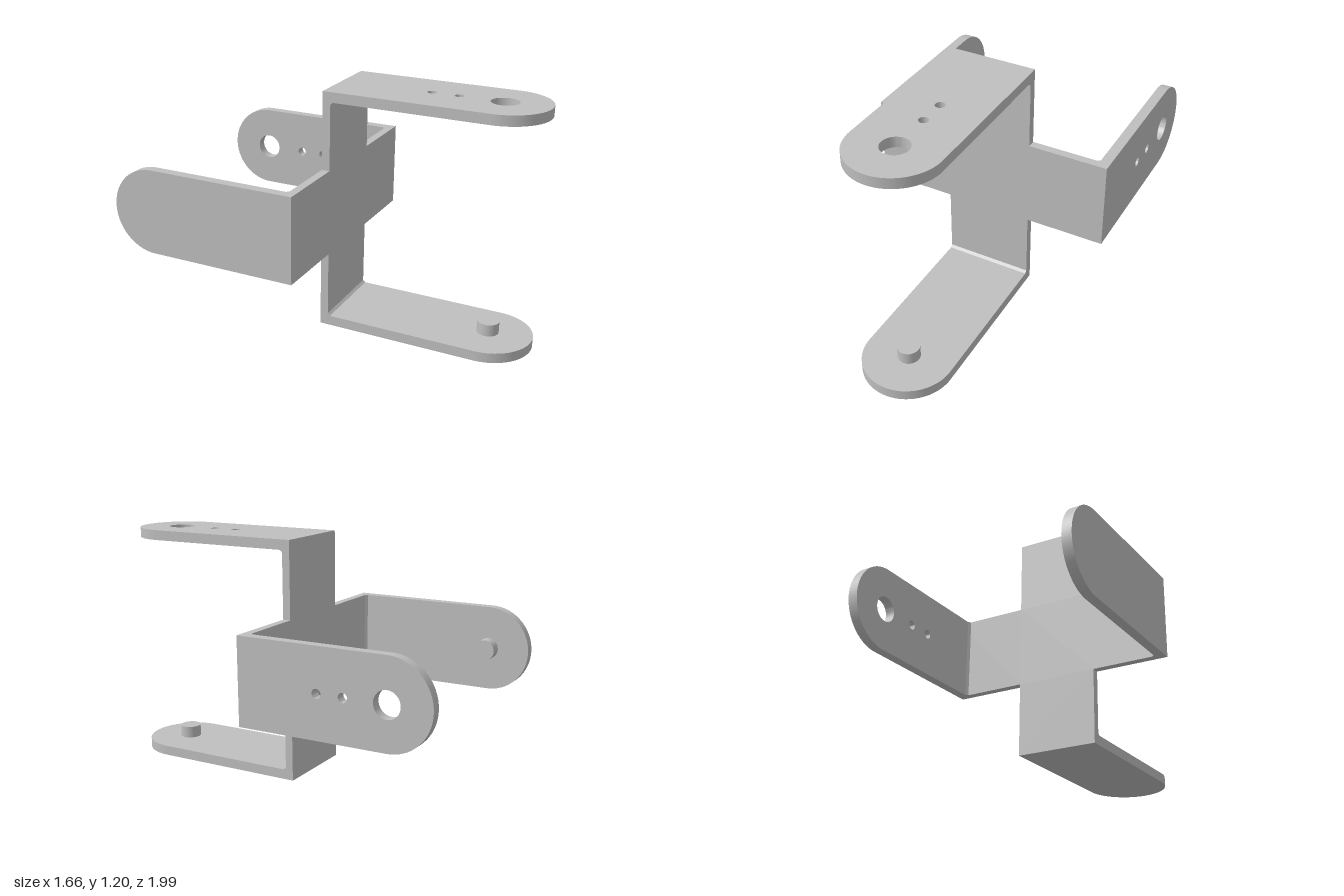
import * as THREE from 'three';
import { toCreasedNormals } from 'three/addons/utils/BufferGeometryUtils.js';

const W = 0.43;      // strap width
const R = W / 2;     // rounded arm end
const HALF = 0.6;    // half the bracket span
const T = 0.05;      // arm thickness
const PLATE = 0.04;  // cross plate thickness

const metal = new THREE.MeshStandardMaterial({ color: 0xbfbfbf });
metal.name = 'grey metal';

function addMesh(parent, name, geometry) {
  const mesh = new THREE.Mesh(geometry, metal);
  mesh.name = name;
  parent.add(mesh);
  return mesh;
}

function extrude(shape, depth) {
  const g = new THREE.ExtrudeGeometry(shape, { depth, bevelEnabled: false, curveSegments: 20 });
  return toCreasedNormals(g, 0.6);
}

// Arm running along +z with its outer face at y = 0
function makeArm(name, length, withHoles) {
  const arm = new THREE.Group();
  arm.name = name;
  const c = length - R;
  const shape = new THREE.Shape();
  shape.moveTo(-R, 0);
  shape.lineTo(R, 0);
  shape.lineTo(R, c);
  shape.absarc(0, c, R, 0, Math.PI, false);
  shape.closePath();
  if (withHoles) {
    for (const [offset, radius] of [[0, 0.065], [0.212, 0.023], [0.343, 0.023]]) {
      shape.holes.push(new THREE.Path().absarc(0, c - offset, radius, 0, Math.PI * 2, true));
    }
  }
  addMesh(arm, 'armPlate', extrude(shape, T).rotateX(Math.PI / 2));

  // small fillet in the inner corner
  const s = 0.012;
  const tri = new THREE.Shape([[0, 0], [-s, 0], [0, -s]].map(p => new THREE.Vector2(...p)));
  addMesh(arm, 'cornerFillet', extrude(tri, W).rotateY(Math.PI / 2)).position.set(-R, -T, 0);

  // pivot peg on the inner face
  if (!withHoles) {
    addMesh(arm, 'pivotPeg', new THREE.CylinderGeometry(0.053, 0.053, 0.06, 32))
      .position.set(0, -T - 0.03, c);
  }
  return arm;
}

// Two facing arms: one drilled, one carrying the peg
function makeArmPair(name, length) {
  const pair = new THREE.Group();
  pair.name = name;
  const drilled = makeArm('drilledArm', length, true);
  drilled.position.y = HALF;
  const pegged = makeArm('pegArm', length, false);
  pegged.position.y = -HALF;
  pegged.rotation.z = Math.PI;
  pair.add(drilled, pegged);
  return pair;
}

export function createModel() {
  const model = new THREE.Group();
  model.name = 'universalJointBracket';
  const joint = new THREE.Group();
  joint.name = 'joint';

  // Cross-shaped plate shared by both arm pairs
  const a = R, b = HALF;
  const cross = new THREE.Shape([
    [-a, -b], [a, -b], [a, -a], [b, -a], [b, a], [a, a],
    [a, b], [-a, b], [-a, a], [-b, a], [-b, -a], [-a, -a],
  ].map(p => new THREE.Vector2(...p)));
  addMesh(joint, 'crossPlate', extrude(cross, PLATE));

  // Front arms lie above and below, rear arms to either side
  const front = makeArmPair('frontArms', 0.972);
  front.position.z = PLATE;
  const rear = makeArmPair('rearArms', 0.93);
  rear.rotation.set(0, Math.PI, Math.PI / 2);
  joint.add(front, rear);

  // Turn the joint about the vertical axis and centre it
  const angle = 0.575, u = 0.096, w = 0.188;
  joint.rotation.y = angle;
  joint.position.set(
    u * Math.cos(angle) + w * Math.sin(angle), HALF,
    -u * Math.sin(angle) + w * Math.cos(angle));
  model.add(joint);
  return model;
}
